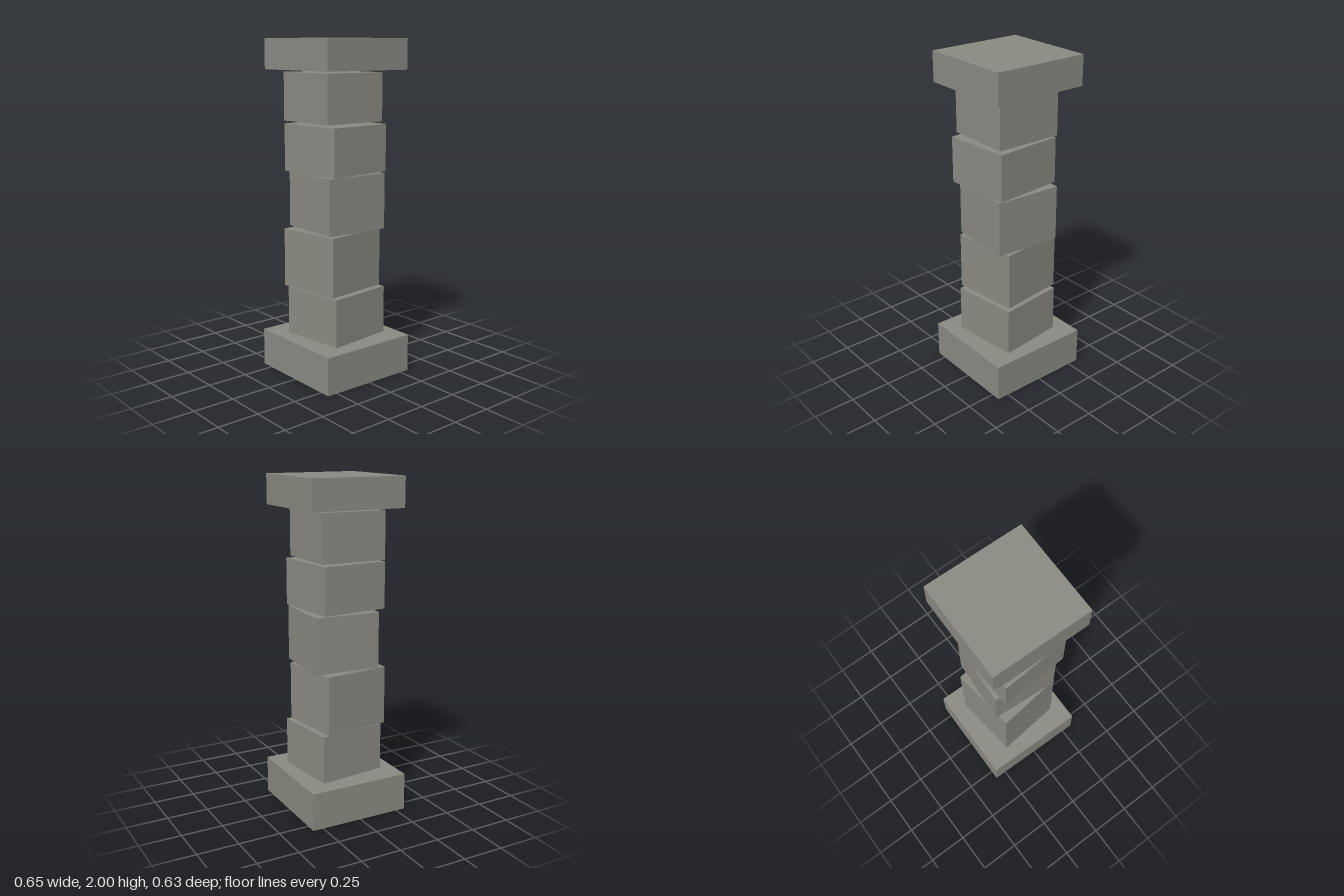
import * as THREE from 'three';

// Box with no underside: four walls and a top
function openBox(w, h, d) {
  const geo = new THREE.BoxGeometry(w, h, d);
  const index = Array.from(geo.index.array);
  index.splice(18, 6); // the downward face
  geo.setIndex(index);
  geo.clearGroups();
  return geo;
}

export function createModel() {
  const group = new THREE.Group();
  group.name = 'stonePillar';
  const stone = new THREE.MeshStandardMaterial({ color: 0x8b8a82, side: THREE.DoubleSide });
  stone.name = 'stone';

  // Each slab: bottom and top height, width, depth, centre x and z, twist
  const slabs = [
    ['base', 0, 0.228, 0.641, 0.621, 0, -0.001, -0.012],
    ['block1', 0.23, 0.519, 0.405, 0.415, 0.0045, -0.0055, 0.107],
    ['block2', 0.529, 0.881, 0.401, 0.407, -0.0135, 0.012, 0.118],
    ['block3', 0.89, 1.223, 0.411, 0.398, 0.002, -0.0105, -0.064],
    ['block4', 1.232, 1.511, 0.426, 0.413, 0.015, 0.012, 0.066],
    ['block5', 1.525, 1.808, 0.413, 0.403, -0.006, 0.0125, -0.016],
    ['capital', 1.822, 2, 0.591, 0.582, 0, -0.0015, -0.015],
  ];
  for (const [name, y0, y1, w, d, x, z, twist] of slabs) {
    const mesh = new THREE.Mesh(openBox(w, y1 - y0, d), stone);
    mesh.name = name;
    mesh.position.set(x, (y0 + y1) / 2, z);
    mesh.rotation.y = twist;
    group.add(mesh);
  }
  return group;
}
